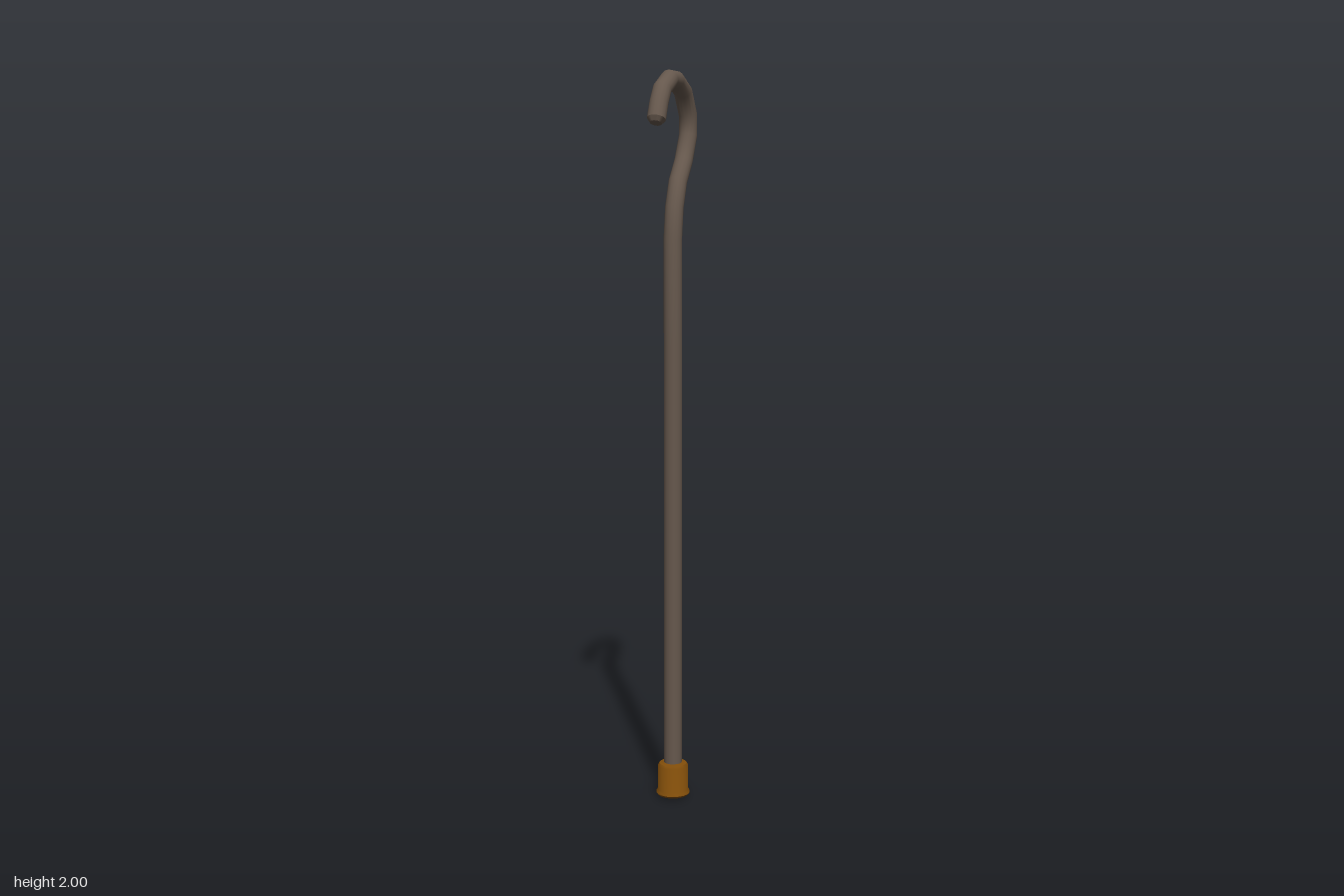
import * as THREE from 'three';
import { toCreasedNormals } from 'three/addons/utils/BufferGeometryUtils.js';

const RADIUS = 0.025;
const SIDES = 16;

// Centre line of the staff in the z/y plane, from the foot to the hook tip
const PATH = [
  [-0.002, 0.05], [-0.002, 1.26], [0, 1.555], [-0.013, 1.64], [-0.042, 1.708], [-0.09, 1.764],
  [-0.128, 1.833], [-0.127, 1.89], [-0.085, 1.949], [-0.022, 1.975], [0.027, 1.975],
  [0.085, 1.946], [0.111, 1.91], [0.13, 1.868],
].map(([z, y]) => new THREE.Vector3(0, y, z));

// Straight-segment curve, so each bend stays a visible kink
class KinkedCurve extends THREE.Curve {
  constructor(points) {
    super();
    this.points = points;
  }
  getPointAt(u, target = new THREE.Vector3()) {
    const f = u * (this.points.length - 1);
    const i = Math.min(Math.floor(f + 1e-6), this.points.length - 2);
    return target.lerpVectors(this.points[i], this.points[i + 1], f - i);
  }
  getPoint(t, target) {
    return this.getPointAt(t, target);
  }
  // Mean direction of the two segments meeting at a point
  getTangentAt(u, target = new THREE.Vector3()) {
    const p = this.points, last = p.length - 1;
    const i = Math.round(u * last);
    const before = p[Math.max(i, 1)].clone().sub(p[Math.max(i, 1) - 1]).normalize();
    const j = Math.min(i, last - 1);
    const after = p[j + 1].clone().sub(p[j]).normalize();
    return target.copy(before).add(after).normalize();
  }
}

// Turned part with edges kept sharp
function turned(profile, sides) {
  const points = profile.map(([r, y]) => new THREE.Vector2(r, y));
  return toCreasedNormals(new THREE.LatheGeometry(points, sides), 0.7);
}

export function createModel() {
  const group = new THREE.Group();
  const wood = new THREE.MeshStandardMaterial({ color: 0x66584d });
  wood.name = 'greyBrownWood';
  const bronze = new THREE.MeshStandardMaterial({ color: 0x824e0a });
  bronze.name = 'bronze';

  const add = (name, geometry, material) => {
    const mesh = new THREE.Mesh(geometry, material);
    mesh.name = name;
    group.add(mesh);
    return mesh;
  };

  // Shaft and hook in one bent tube
  const curve = new KinkedCurve(PATH);
  add('shaftAndHook', new THREE.TubeGeometry(curve, PATH.length - 1, RADIUS, SIDES, false), wood);

  // Bevelled end of the hook
  const tip = add('hookTip', turned([[RADIUS, 0], [0.016, 0.012], [0, 0.014]], SIDES), wood);
  tip.position.copy(PATH[PATH.length - 1]);
  tip.quaternion.setFromUnitVectors(new THREE.Vector3(0, 1, 0), curve.getTangentAt(1));

  // Foot cap with a rounded sole, a low rim and a softened top edge
  const cap = add('footCap', turned([
    [0, 0], [0.028, 0.002], [0.042, 0.006], [0.047, 0.012], [0.046, 0.017],
    [0.0425, 0.022], [0.0425, 0.09], [0.038, 0.097], [0.02, 0.1],
  ], 24), bronze);
  cap.position.z = PATH[0].z;

  return group;
}
